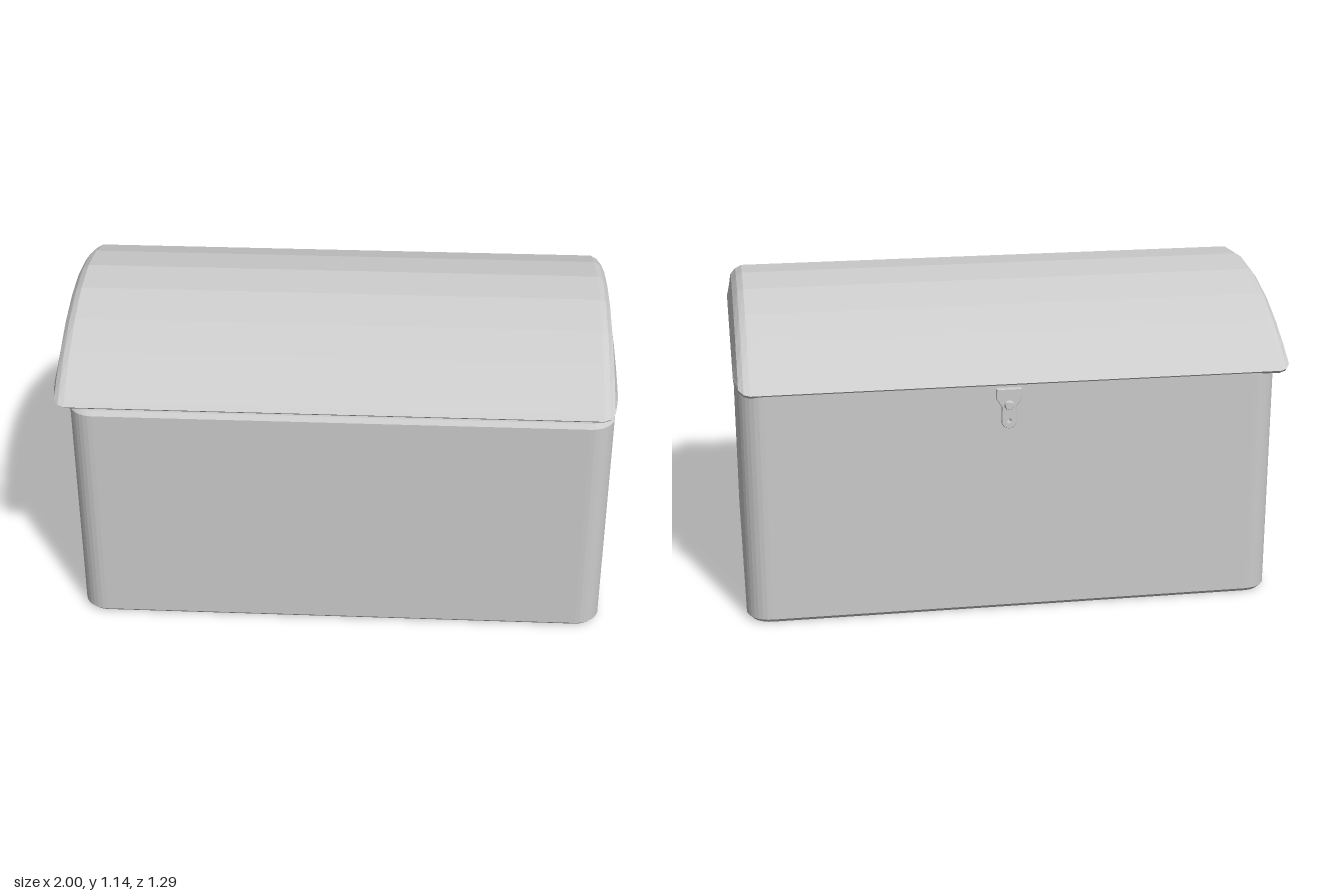
import * as THREE from 'three';

const grey = new THREE.MeshStandardMaterial({ color: 0xcccccc, flatShading: true });

function addMesh(parent, geometry, name) {
  const mesh = new THREE.Mesh(geometry, grey);
  mesh.name = name;
  parent.add(mesh);
  return mesh;
}

function roundedRect(w, d, r) {
  const x = w / 2, y = d / 2, s = new THREE.Shape();
  s.moveTo(x - r, -y);
  s.absarc(x - r, -y + r, r, -Math.PI / 2, 0);
  s.absarc(x - r, y - r, r, 0, Math.PI / 2);
  s.absarc(-x + r, y - r, r, Math.PI / 2, Math.PI);
  s.absarc(-x + r, -y + r, r, Math.PI, Math.PI * 1.5);
  s.closePath();
  return s;
}

// Domed lid: closed arched sections strung along x, shrinking at both ends
function lidGeometry() {
  // x, half depth, arch height, lift above the sloping seam
  const half = [[0.945, 0.635, 0.255, 0], [0.967, 0.625, 0.238, 0.003], [0.985, 0.595, 0.205, 0.01], [1, 0.5, 0.09, 0.02]];
  const stations = [...half.map(([x, ...rest]) => [-x, ...rest]).reverse(), ...half];
  const across = [1, 0.97, 0.87, 0.71, 0.5, 0.25, 0, -0.25, -0.5, -0.71, -0.87, -0.97, -1];
  const under = [-0.97, -0.5, 0, 0.5, 0.97];
  const n = across.length + under.length;
  const pos = [], index = [];
  for (const [x, depth, height, lift] of stations) {
    const put = (t, rise) => {
      const z = t * depth;
      pos.push(x, 0.885 + 0.032 * z + lift + rise, z + 0.01);
    };
    across.forEach(t => put(t, height * (1 - t * t)));
    under.forEach(t => put(t, -0.014));
  }
  for (let i = 0; i < stations.length - 1; i++) {
    for (let j = 0; j < n; j++) {
      const k = (j + 1) % n;
      const a = i * n + j, b = i * n + k, c = b + n, d = a + n;
      index.push(a, d, c, a, c, b);
    }
  }
  const last = (stations.length - 1) * n;
  for (let j = 1; j < n - 1; j++) {
    index.push(0, j, j + 1, last, last + j + 1, last + j);
  }
  const g = new THREE.BufferGeometry();
  g.setAttribute('position', new THREE.Float32BufferAttribute(pos, 3));
  g.setIndex(index);
  g.computeVertexNormals();
  return g;
}

// Hasp on the back: wide at the top, narrowing to a rounded tongue
function createLatch() {
  const latch = new THREE.Group();
  latch.name = 'latch';
  const s = new THREE.Shape();
  s.moveTo(-0.043, 0.07);
  s.lineTo(-0.043, 0.035);
  s.lineTo(-0.023, 0.005);
  s.lineTo(-0.025, -0.05);
  s.absarc(0, -0.048, 0.025, Math.PI, Math.PI * 2);
  s.lineTo(0.023, 0.005);
  s.lineTo(0.043, 0.035);
  s.lineTo(0.043, 0.07);
  s.closePath();
  const hole = new THREE.Path();
  hole.absarc(0, -0.045, 0.009, 0, Math.PI * 2, true);
  s.holes.push(hole);
  addMesh(latch, new THREE.ExtrudeGeometry(s, {
    depth: 0.02, bevelEnabled: true, bevelSize: 0.002, bevelThickness: 0.003, bevelSegments: 1, curveSegments: 6,
  }), 'haspPlate');
  // Raised boss in the middle of the plate
  const boss = addMesh(latch, new THREE.CylinderGeometry(0.014, 0.02, 0.014, 10), 'haspBoss');
  boss.rotation.x = Math.PI / 2;
  boss.position.set(0, 0.012, 0.026);
  latch.rotation.y = Math.PI;
  latch.position.set(0.045, 0.778, -0.612);
  return latch;
}

export function createModel() {
  const model = new THREE.Group();
  model.name = 'chest';

  // Box with rounded upright corners and a small chamfer at top and bottom
  const bevel = 0.015;
  const bodyGeometry = new THREE.ExtrudeGeometry(roundedRect(1.93, 1.25, 0.09), {
    depth: 0.85, bevelEnabled: true, bevelThickness: bevel, bevelSize: bevel,
    bevelOffset: -bevel, bevelSegments: 1, curveSegments: 4,
  });
  bodyGeometry.rotateX(-Math.PI / 2);
  const body = addMesh(model, bodyGeometry, 'body');
  body.position.set(0.025, bevel, 0.01);

  addMesh(model, lidGeometry(), 'lid');
  model.add(createLatch());
  return model;
}
